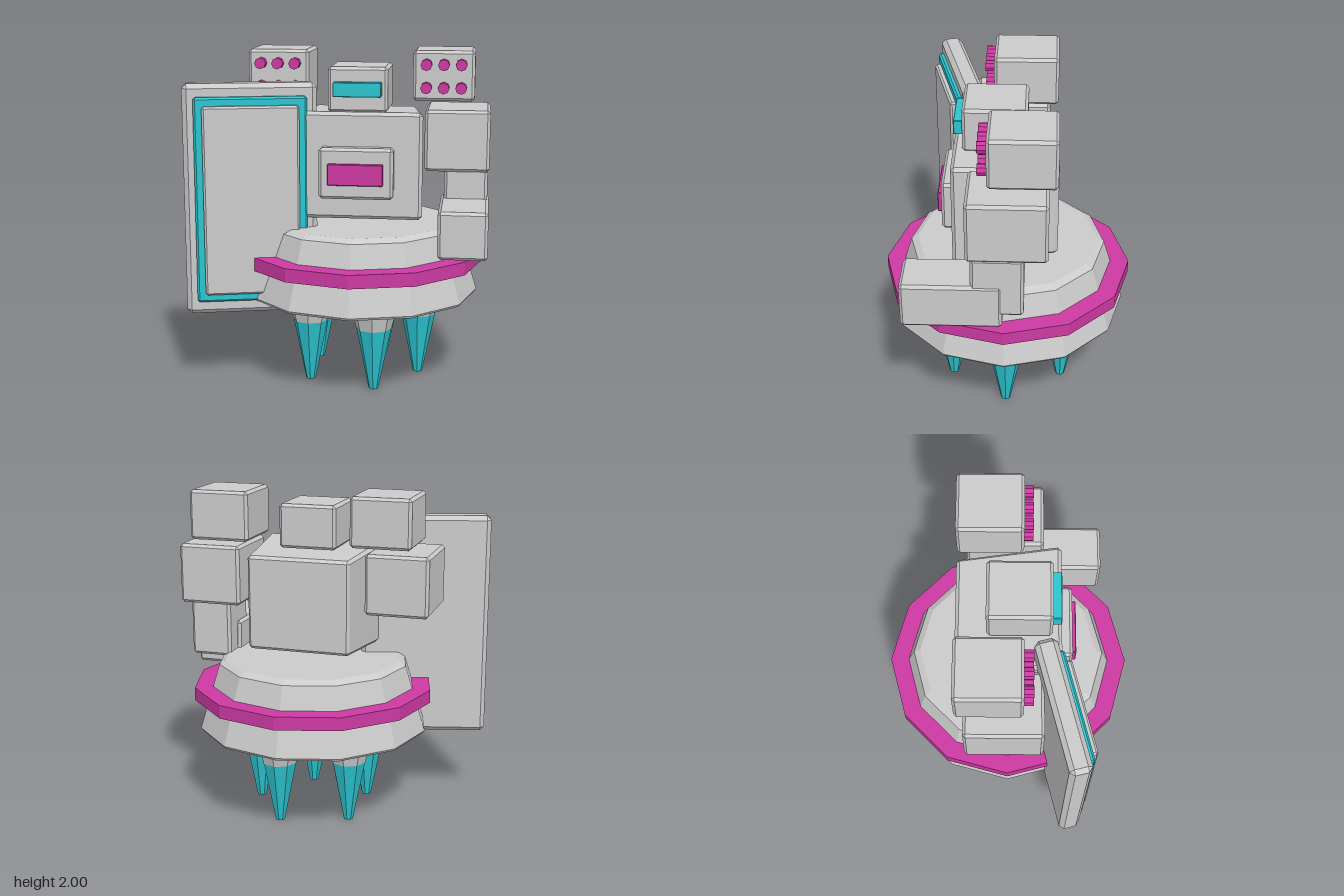
import * as THREE from 'three';
import { ConvexGeometry } from 'three/addons/geometries/ConvexGeometry.js';

const CX = 0.125; // mirror plane of the body

export function createModel() {
  const model = new THREE.Group();
  model.name = 'hoverRobot';

  const mat = (name, color) => {
    const m = new THREE.MeshStandardMaterial({ color });
    m.name = name;
    return m;
  };
  const grey = mat('light grey', 0xcbcbcb);
  const cyan = mat('cyan', 0x2cc5d0);
  const magenta = mat('magenta', 0xcc39a2);

  const add = (name, geometry, material, pos = [0, 0, 0], parent = model) => {
    const mesh = new THREE.Mesh(geometry, material);
    mesh.name = name;
    mesh.position.set(...pos);
    parent.add(mesh);
    return mesh;
  };

  const faceted = (geometry) => {
    const g = geometry.toNonIndexed();
    g.computeVertexNormals();
    return g;
  };

  // Box with chamfered edges; the back end can be scaled to give a taper
  const chamferBox = (w, h, d, b, backX = 1, backY = 1) => {
    const pts = [];
    for (const sx of [-1, 1]) for (const sy of [-1, 1]) for (const sz of [-1, 1]) {
      for (let axis = 0; axis < 3; axis++) {
        const p = [w, h, d].map((s, i) => s / 2 - (i === axis ? 0 : b));
        const kx = sz < 0 ? backX : 1, ky = sz < 0 ? backY : 1;
        pts.push(new THREE.Vector3(sx * p[0] * kx, sy * p[1] * ky, sz * p[2]));
      }
    }
    return new ConvexGeometry(pts);
  };

  // Chamfered box from its limits on each axis
  const block = (name, material, [x0, x1], [y0, y1], [z0, z1], b = 0.017, parent = model, backX, backY) =>
    add(name, chamferBox(x1 - x0, y1 - y0, z1 - z0, b, backX, backY), material,
      [(x0 + x1) / 2, (y0 + y1) / 2, (z0 + z1) / 2], parent);

  // Hover base: twelve-sided dish with a belt
  const profile = [[0, 0.53], [0.7, 0.53], [0.71, 0.545], [0.585, 0.945], [0.545, 0.97], [0, 0.97]]
    .map(([r, y]) => new THREE.Vector2(r, y));
  add('hoverBase', faceted(new THREE.LatheGeometry(profile, 12)), grey, [CX, 0, 0]);
  add('baseBelt', faceted(new THREE.CylinderGeometry(0.74, 0.74, 0.08, 12)), magenta, [CX, 0.767, 0]);

  // Five thrusters in a circle
  for (let i = 0; i < 5; i++) {
    const a = (i / 5) * Math.PI * 2;
    const x = CX + 0.356 * Math.cos(a), z = 0.356 * Math.sin(a);
    add('thrusterNozzle', faceted(new THREE.CylinderGeometry(0.148, 0.107, 0.17, 8)), grey, [x, 0.465, z]);
    add('thrusterFlame', faceted(new THREE.CylinderGeometry(0.105, 0.029, 0.38, 8)), cyan, [x, 0.19, z]);
  }

  // Torso, narrower toward the back, with chest plate
  block('torso', grey, [-0.258, 0.508], [1.03, 1.66], [-0.3, 0.305], 0.02, model, 0.82, 0.9);
  block('chestPlate', grey, [-0.09, 0.344], [1.16, 1.46], [0.29, 0.375]);
  block('chestLight', magenta, [-0.035, 0.287], [1.245, 1.37], [0.36, 0.4], 0.004);

  // Head and visor
  block('head', grey, [-0.05, 0.3], [1.65, 1.915], [-0.12, 0.25]);
  block('visor', cyan, [-0.015, 0.265], [1.745, 1.83], [0.23, 0.3], 0.004);

  // Shoulders and launchers on both sides
  for (const s of [-1, 1]) {
    const side = new THREE.Group();
    side.name = s > 0 ? 'leftShoulderGroup' : 'rightShoulderGroup';
    side.position.x = CX;
    model.add(side);
    const span = (a, b) => (s > 0 ? [a, b] : [-b, -a]);
    block('shoulder', grey, span(0.388, 0.768), [1.305, 1.665], [-0.245, 0.205], 0.017, side);
    block('launcher', grey, span(0.309, 0.672), [1.705, 2.0], [-0.292, 0.09], 0.017, side);
    for (const x of [0.389, 0.491, 0.593]) for (const y of [1.785, 1.92]) {
      const tube = add('launchTube', faceted(new THREE.CylinderGeometry(0.034, 0.034, 0.1, 8)), magenta,
        [s * x, y, 0.092], side);
      tube.rotation.x = Math.PI / 2;
    }
  }

  // Left arm
  block('upperArm', grey, [0.63, 0.885], [0.945, 1.32], [-0.115, 0.18]);
  block('forearm', grey, [0.61, 0.893], [0.865, 1.142], [0.005, 0.573]);

  // Shield on the right side, turned slightly outward
  const shield = new THREE.Group();
  shield.name = 'shield';
  shield.position.set(-0.503, 1.14, 0.3);
  shield.rotation.y = 0.25;
  model.add(shield);
  block('shieldSlab', grey, [-0.39, 0.39], [-0.685, 0.685], [-0.065, 0.065], 0.027, shield);
  block('shieldTrim', cyan, [-0.328, 0.328], [-0.605, 0.61], [0.05, 0.095], 0.012, shield);
  block('shieldPanel', grey, [-0.28, 0.28], [-0.555, 0.56], [0.08, 0.128], 0.012, shield);

  return model;
}
